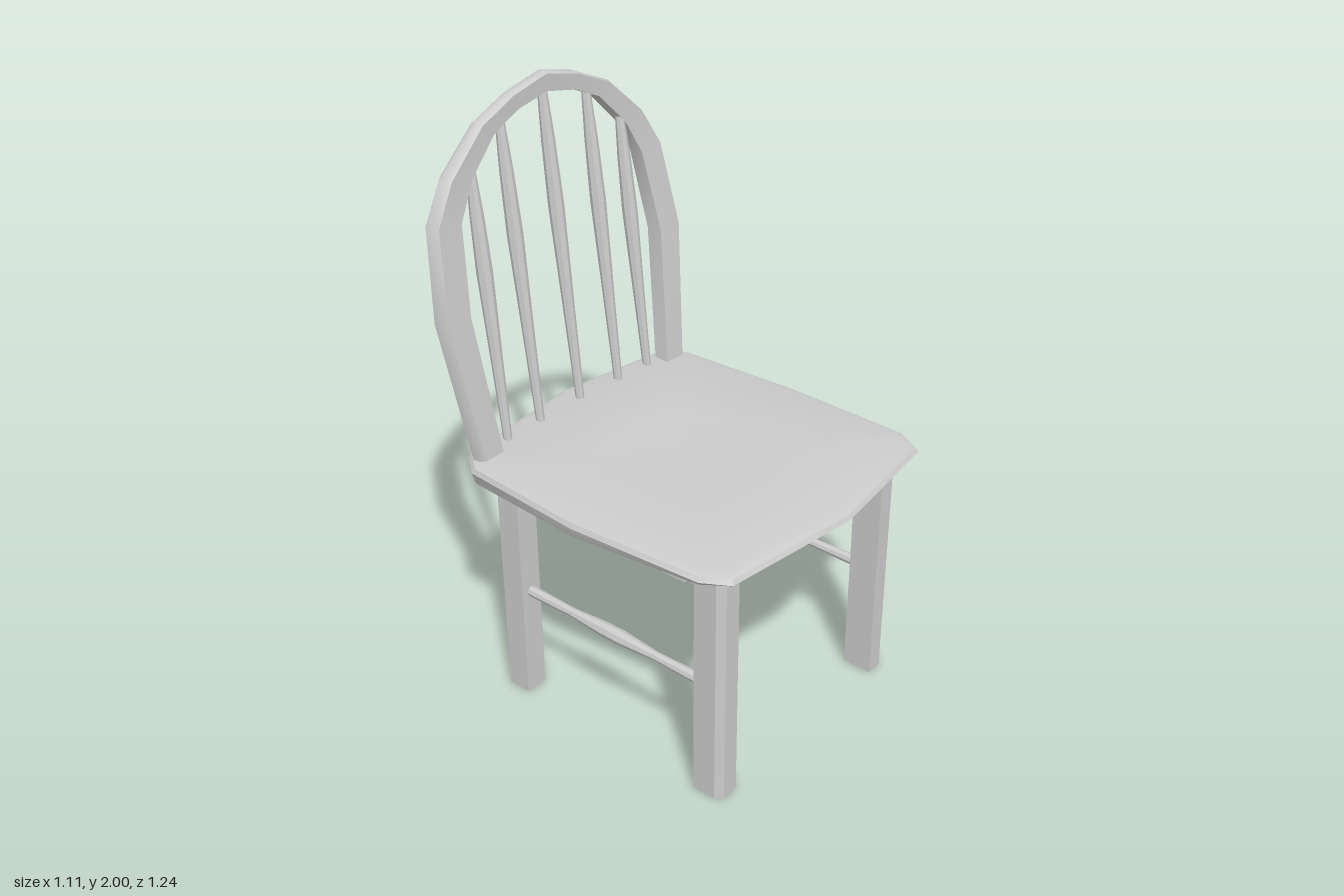
import * as THREE from 'three';
import { toCreasedNormals } from 'three/addons/utils/BufferGeometryUtils.js';

const V = (x, y, z) => new THREE.Vector3(x, y, z);
const material = new THREE.MeshStandardMaterial({ color: 0xcccccc });

function part(name, geometry, parent) {
  const mesh = new THREE.Mesh(geometry, material);
  mesh.name = name;
  parent.add(mesh);
  return mesh;
}

// Skins a list of equal-length rings and closes both ends with fans.
function loft(rings, crease) {
  const n = rings[0].length, pos = [], idx = [];
  rings.forEach(r => r.forEach(p => pos.push(p.x, p.y, p.z)));
  for (let i = 0; i < rings.length - 1; i++)
    for (let j = 0; j < n; j++) {
      const k = (j + 1) % n, a = i * n, b = a + n;
      idx.push(a + j, a + k, b + k, a + j, b + k, b + j);
    }
  [0, rings.length - 1].forEach((i, end) => {
    const c = rings[i].reduce((s, p) => s.add(p), V(0, 0, 0)).divideScalar(n);
    const ci = pos.length / 3;
    pos.push(c.x, c.y, c.z);
    for (let j = 0; j < n; j++) {
      const a = i * n + j, b = i * n + (j + 1) % n;
      idx.push(...(end ? [ci, a, b] : [ci, b, a]));
    }
  });
  const g = new THREE.BufferGeometry();
  g.setAttribute('position', new THREE.Float32BufferAttribute(pos, 3));
  g.setIndex(idx);
  return toCreasedNormals(g, crease);
}

// Turned rod between two points; profile holds [radius, fraction of length].
function rod(a, b, profile) {
  const len = a.distanceTo(b);
  const pts = profile.map(([r, t]) => new THREE.Vector2(r, t * len));
  const g = toCreasedNormals(new THREE.LatheGeometry(pts, 8), 0.5);
  g.applyQuaternion(new THREE.Quaternion().setFromUnitVectors(V(0, 1, 0), b.clone().sub(a).normalize()));
  return g.translate(a.x, a.y, a.z);
}

// Saddle seat: half outline [x, z, bottom y, top y], mirrored, with bevelled rim
function seatGeometry() {
  const half = [
    [0, 0.615, 0.845, 0.885], [0.48, 0.555, 0.84, 0.885], [0.53, 0.47, 0.835, 0.885],
    [0.555, 0, 0.81, 0.88], [0.53, -0.45, 0.81, 0.885], [0.47, -0.53, 0.805, 0.89], [0, -0.57, 0.8, 0.905],
  ];
  const outline = [...half, ...half.slice(1, -1).reverse().map(([x, ...r]) => [-x, ...r])];
  const ring = (s, f) => outline.map(([x, z, b, t]) => V(x * s, f(b, t), z * s));
  return loft([
    ring(0.92, b => b),
    ring(0.985, b => b + 0.012),
    ring(1, (b, t) => t - 0.025),
    ring(0.985, (b, t) => t - 0.01),
    ring(0.94, (b, t) => t),
    ring(0.4, () => 0.874),
  ], 0.6);
}

// Bent hoop: stations [outer x, outer y, inner x, inner y, front z, back z]
function hoopGeometry() {
  const half = [
    [0.485, 0.84, 0.395, 0.84, -0.43, -0.5], [0.49, 0.885, 0.4, 0.885, -0.435, -0.505],
    [0.545, 1.355, 0.44, 1.355, -0.495, -0.57], [0.51, 1.645, 0.405, 1.635, -0.545, -0.612],
    [0.435, 1.77, 0.34, 1.755, -0.557, -0.62], [0.285, 1.905, 0.23, 1.865, -0.567, -0.622],
    [0.145, 1.965, 0.125, 1.912, -0.57, -0.622], [0, 2, 0, 1.937, -0.57, -0.62],
  ];
  const stations = [...half, ...half.slice(0, -1).reverse().map(([a, b, c, ...r]) => [-a, b, -c, ...r])];
  // section as [inner to outer, front to back]
  const section = [[0.02, 0.03], [0.9, 0], [1, 0.25], [1, 0.7], [0.8, 1], [0.2, 1], [0, 0.8]];
  return loft(stations.map(([ox, oy, ix, iy, zf, zb]) => section.map(([u, w]) =>
    V(ix + (ox - ix) * u, iy + (oy - iy) * u, zf + (zb - zf) * w))), 0.7);
}

const extrude = (points, depth) => new THREE.ExtrudeGeometry(
  new THREE.Shape(points.map(([x, y]) => new THREE.Vector2(x, y))), { depth, bevelEnabled: false });

export function createModel() {
  const chair = new THREE.Group();
  chair.name = 'chair';

  part('seat', seatGeometry(), chair);
  part('backHoop', hoopGeometry(), chair);

  // Back spindles, swelling above the middle
  [[0, 1.95], [0.19, 1.89], [0.34, 1.775]].forEach(([x, top]) => {
    for (const s of x ? [1, -1] : [1]) {
      const a = V(s * x, 0.865, -0.478), b = V(s * (x - (x > 0.3 ? 0.008 : 0)), top, -0.478 - 0.115 * (top - 0.865) / 1.07);
      part('spindle', rod(a, b, [[0.014, 0], [0.02, 0.35], [0.026, 0.65], [0.022, 0.85], [0.015, 1]]), chair);
    }
  });

  for (const sx of [1, -1]) {
    const side = sx > 0 ? 'left' : 'right';
    for (const front of [true, false]) {
      const leg = new THREE.Group();
      leg.name = side + (front ? 'FrontLeg' : 'BackLeg');
      chair.add(leg);
      const [zi, zo] = front ? [0.39, 0.495] : [-0.337, -0.445];
      const sz = Math.sign(zo), xi = 0.372, xo = 0.453, c = 0.022;

      // Square post with its outer corner chamfered
      const plan = [[xi, zi], [xo, zi], [xo, zo - sz * c], [xo - c, zo], [xi, zo]];
      part('post', extrude(plan.map(([x, z]) => [sx * x, -z]), 0.84).rotateX(-Math.PI / 2), leg);

      // Corner brace running inwards under the seat
      const brace = [[zi, 0.775], [zi, 0.845], [zi - sz * 0.11, 0.835], [zi - sz * 0.1, 0.82]];
      part('brace', extrude(brace, xo - xi).rotateY(-Math.PI / 2).translate(sx > 0 ? xo : -xi, 0, 0), leg);
    }

    // Side stretcher between front and back legs
    part(side + 'Stretcher', rod(V(sx * 0.412, 0.397, -0.345), V(sx * 0.412, 0.397, 0.4),
      [[0.018, 0], [0.018, 0.08], [0.015, 0.26], [0.025, 0.45], [0.025, 0.55], [0.015, 0.74], [0.018, 0.92], [0.018, 1]]), chair);
  }
  return chair;
}
